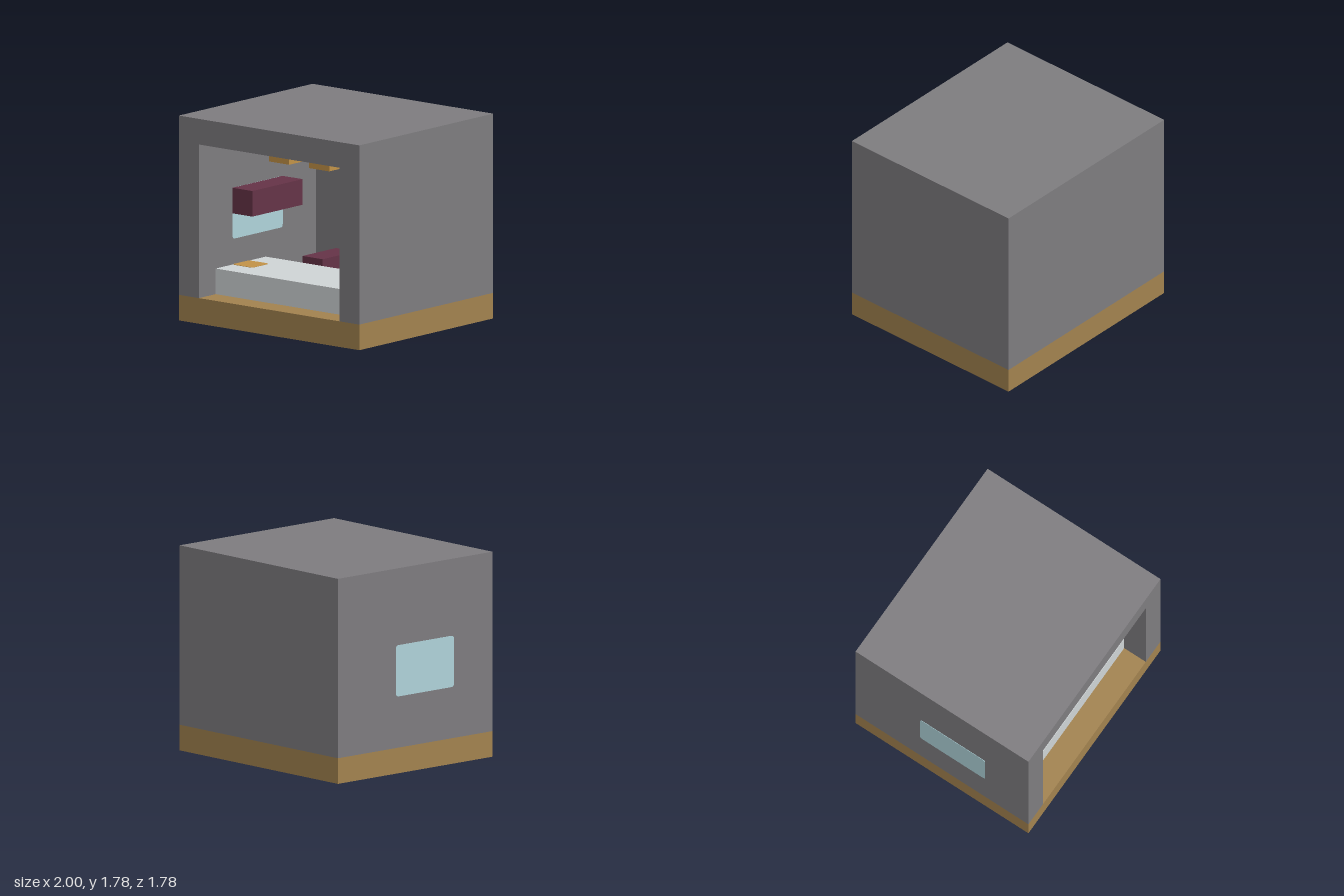
import * as THREE from 'three';

const U = 2 / 9; // one building module

export function createModel() {
  const group = new THREE.Group();

  const mat = (name, color) => {
    const m = new THREE.MeshStandardMaterial({ color });
    m.name = name;
    return m;
  };
  const stone = mat('stone grey', 0x7e7c7f);
  const wood = mat('oak wood', 0xa2824f);
  const white = mat('white', 0xcfd4d5);
  const maroon = mat('maroon wood', 0x653347);
  const amber = mat('amber', 0xc29247);
  const glass = mat('pale blue glass', 0xafd3da);

  // Box from its min and max corners, counted in modules
  const block = (name, material, [x0, y0, z0], [x1, y1, z1]) => {
    const geo = new THREE.BoxGeometry((x1 - x0) * U, (y1 - y0) * U, (z1 - z0) * U);
    const mesh = new THREE.Mesh(geo, material);
    mesh.name = name;
    mesh.position.set((x0 + x1) / 2 * U, (y0 + y1) / 2 * U, (z0 + z1) / 2 * U);
    group.add(mesh);
    return mesh;
  };

  // Thin rounded plate, centred and facing +z
  const plate = (name, material, w, h, r) => {
    const a = w / 2, b = h / 2;
    const s = new THREE.Shape();
    s.moveTo(-a + r, -b);
    s.lineTo(a - r, -b).quadraticCurveTo(a, -b, a, -b + r);
    s.lineTo(a, b - r).quadraticCurveTo(a, b, a - r, b);
    s.lineTo(-a + r, b).quadraticCurveTo(-a, b, -a, b - r);
    s.lineTo(-a, -b + r).quadraticCurveTo(-a, -b, -a + r, -b);
    const geo = new THREE.ExtrudeGeometry(s, { depth: 0.004, bevelEnabled: false, curveSegments: 4 });
    geo.translate(0, 0, -0.002);
    const mesh = new THREE.Mesh(geo, material);
    mesh.name = name;
    group.add(mesh);
    return mesh;
  };

  // Room shell, open at the front
  block('floor', wood, [-4.5, 0, -4], [4.5, 1, 4]);
  block('roof', stone, [-4.5, 7, -4], [4.5, 8, 4]);
  block('rightWall', stone, [-4.5, 1, -4], [-3.5, 7, 4]);
  block('leftWall', stone, [3.5, 1, -4], [4.5, 7, 4]);
  block('backWall', stone, [-3.5, 1, -4], [3.5, 7, -3]);

  // Window panes on both faces of the side wall
  for (const [name, x] of [['outerWindow', -4.5 * U - 0.001], ['innerWindow', -3.5 * U + 0.001]]) {
    const pane = plate(name, glass, 3 * U, 2 * U, 0.03);
    pane.rotation.y = Math.PI / 2;
    pane.position.set(x, 4 * U, 0.5 * U);
  }

  // Counter with a small mat on it
  block('counter', white, [-3.5, 1, 0], [3.5, 2, 3]);
  const counterMat = plate('counterMat', amber, U, U, 0.025);
  counterMat.rotation.x = -Math.PI / 2;
  counterMat.position.set(-3 * U, 2 * U + 0.001, 1.5 * U);

  // Furnishings
  block('wallShelf', maroon, [-3.5, 4, -1], [-2.5, 5, 2]);
  block('bench', maroon, [-2.5, 1, -3], [-1.5, 2, -1]);
  block('table', wood, [-0.5, 1, -3], [0.5, 2, -1]);
  block('stove', stone, [2.5, 1, -3], [3.5, 3, -1]);

  // Ceiling lamps
  for (const x of [-2, 0, 2]) {
    block('ceilingLamp', amber, [x - 0.5, 6, 0], [x + 0.5, 7, 1]);
  }

  return group;
}
